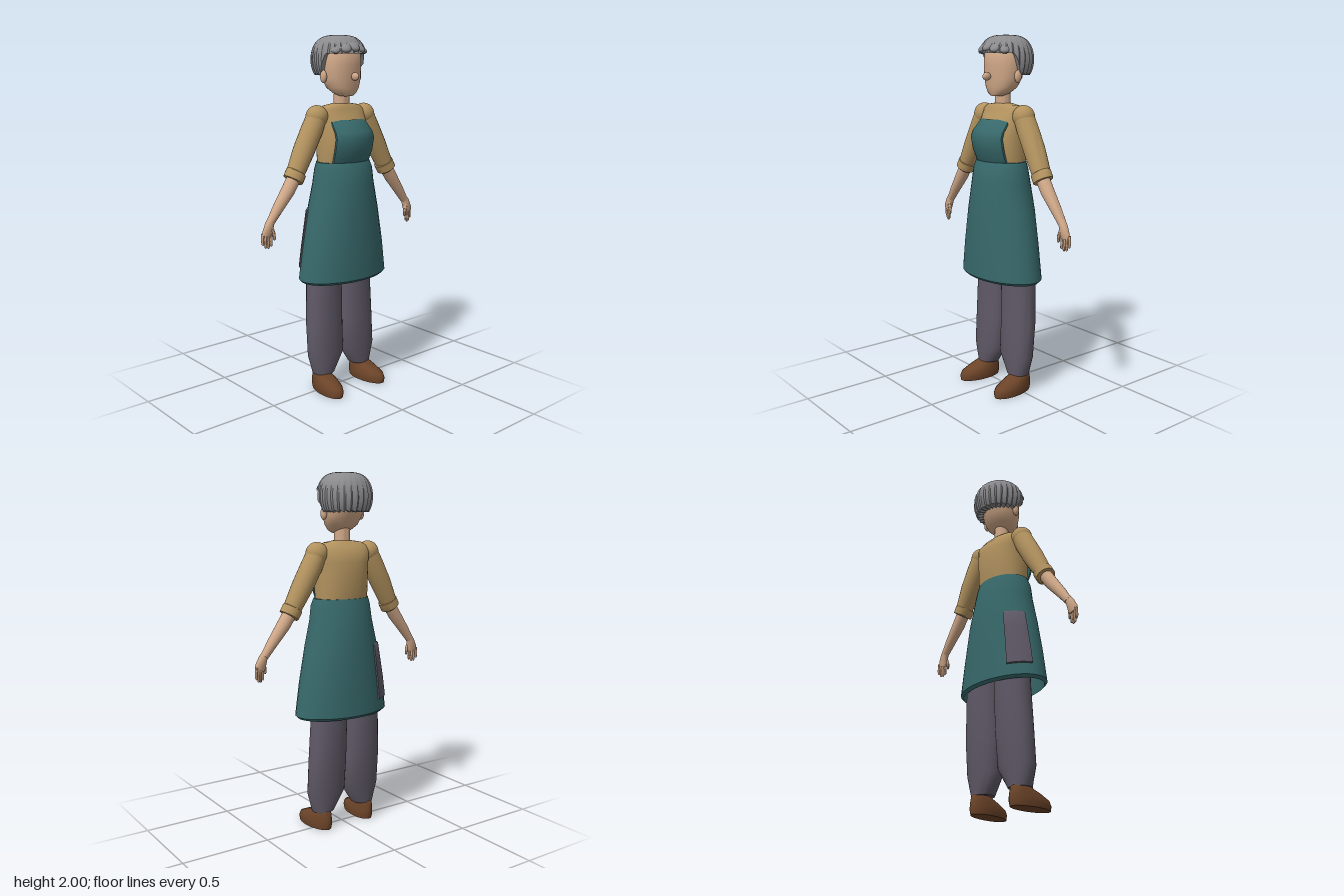
import * as THREE from 'three';
import { toCreasedNormals } from 'three/addons/utils/BufferGeometryUtils.js';

const mat = (name, color) => {
  const m = new THREE.MeshStandardMaterial({ color });
  m.name = name;
  return m;
};

// Skins closed rings of points; rings run along the axis, points from +x towards +z
function skin(rings, capStart = true, capEnd = true, crease = 0.75) {
  const pos = [], idx = [], n = rings[0].length;
  rings.forEach(r => r.forEach(p => pos.push(...p)));
  for (let i = 0; i < rings.length - 1; i++) {
    for (let j = 0; j < n; j++) {
      const k = (j + 1) % n, a = i * n + j, b = i * n + k;
      idx.push(a, a + n, b, b, a + n, b + n);
    }
  }
  const cap = (ring, base, flip) => {
    const c = [0, 1, 2].map(k => ring.reduce((s, p) => s + p[k], 0) / n);
    pos.push(...c);
    const ci = pos.length / 3 - 1;
    for (let j = 0; j < n; j++) {
      const a = base + j, b = base + (j + 1) % n;
      idx.push(ci, flip ? b : a, flip ? a : b);
    }
  };
  if (capStart) cap(rings[0], 0, false);
  if (capEnd) cap(rings[rings.length - 1], (rings.length - 1) * n, true);
  const g = new THREE.BufferGeometry();
  g.setAttribute('position', new THREE.Float32BufferAttribute(pos, 3));
  g.setIndex(idx);
  return toCreasedNormals(g, crease);
}

// Level ring from [y, half width, front z, back z, centre x]
const levelRing = ([y, rx, zf, zb, cx = 0], n = 32, e = 1) =>
  Array.from({ length: n }, (_, j) => {
    const a = j / n * Math.PI * 2, c = Math.cos(a), s = Math.sin(a);
    const f = v => Math.sign(v) * Math.abs(v) ** e;
    return [cx + rx * f(c), y, (zf + zb) / 2 + (zf - zb) / 2 * f(s)];
  });
const stack = (secs, e = 1, capStart = true) =>
  skin(secs.map(s => levelRing(s, 32, e)), capStart);

// Limb along a bent path in the xy plane from [x, y, z, radius, depth radius]
function limb(secs, n = 20) {
  return skin(secs.map(([x, y, z, r, rz = r], i) => {
    const p = secs[Math.max(i - 1, 0)], q = secs[Math.min(i + 1, secs.length - 1)];
    const l = Math.hypot(q[0] - p[0], q[1] - p[1]);
    const dx = (q[0] - p[0]) / l, dy = (q[1] - p[1]) / l;
    return Array.from({ length: n }, (_, j) => {
      const a = j / n * Math.PI * 2, c = r * Math.cos(a);
      return [x + dy * c, y - dx * c, z + rz * Math.sin(a)];
    });
  }));
}

// Outer skirt outline: [y, half width, front z, back z]
const SKIRT = [[0.67, 0.29, 0.175, -0.165], [0.85, 0.262, 0.173, -0.161], [1.05, 0.223, 0.166, -0.155],
  [1.2, 0.187, 0.156, -0.14], [1.28, 0.18, 0.142, -0.122], [1.32, 0.166, 0.125, -0.112]];
function skirtAt(y) {
  let i = 0;
  while (i < SKIRT.length - 2 && SKIRT[i + 1][0] < y) i++;
  const a = SKIRT[i], b = SKIRT[i + 1], t = (y - a[0]) / (b[0] - a[0]);
  return a.map((v, k) => v + (b[k] - v) * t);
}

// Hair cap: ridged locks with a short fringe and longer sides and back
function hairGeometry() {
  const n = 104, rows = 14, rings = [];
  const ring = (t, inset) => Array.from({ length: n }, (_, j) => {
    const a = j / n * Math.PI * 2, s = Math.sin(a), saw = (j % 4) / 3;
    const front = THREE.MathUtils.smoothstep(s, 0.05, 0.42);
    const edge = 1.787 + 0.115 * front + 0.012 * saw * (1 - front);
    const phi = Math.acos((edge - 1.87) / 0.13) * (1 - t);
    const r = Math.sin(phi) ** 0.6 * inset * (1 - 0.05 * saw * (1 - t) ** 0.7);
    return [0.157 * r * Math.cos(a), 1.87 + 0.13 * Math.cos(phi), -0.03 + 0.15 * r * s];
  });
  rings.push(ring(0, 0.7));
  for (let i = 0; i <= rows; i++) rings.push(ring(Math.min(i / rows, 0.995), 1));
  return skin(rings, false, true, 0.6);
}

export function createModel() {
  const skinTone = mat('skin', 0xd0a888), hair = mat('grey hair', 0x8b8b8e);
  const shirt = mat('tan shirt', 0xb3935f), teal = mat('teal apron', 0x37686a);
  const cloth = mat('grey trousers', 0x5f5966), leather = mat('brown leather', 0x6b4328);
  const model = new THREE.Group();
  const add = (name, geo, material, parent = model) => {
    const m = new THREE.Mesh(geo, material);
    m.name = name;
    parent.add(m);
    return m;
  };
  const ball = (name, material, p, r, parent) => {
    const m = add(name, new THREE.SphereGeometry(1, 24, 16), material, parent);
    m.position.set(...p);
    m.scale.set(...r);
    return m;
  };

  // Head
  const head = new THREE.Group();
  head.name = 'head';
  model.add(head);
  add('face', stack([[1.675, 0.035, 0.065, 0.0], [1.69, 0.068, 0.072, -0.03], [1.72, 0.096, 0.078, -0.07],
    [1.77, 0.113, 0.083, -0.1], [1.84, 0.118, 0.087, -0.12], [1.91, 0.114, 0.085, -0.12],
    [1.96, 0.08, 0.05, -0.09]], 0.93), skinTone, head);
  ball('nose', skinTone, [0, 1.78, 0.106], [0.016, 0.022, 0.026], head);
  add('neck', stack([[1.58, 0.046, 0.036, -0.05], [1.72, 0.043, 0.036, -0.046]]), skinTone, head);
  add('hair', hairGeometry(), hair, head);
  for (let i = -2; i <= 2; i++) {
    const a = i * 0.42;
    const lock = ball('fringeLock', hair,
      [Math.sin(a) * 0.088, 1.948 - Math.abs(i) * 0.006, -0.03 + Math.cos(a) * 0.092], [0.042, 0.026, 0.07], head);
    lock.rotation.set(0.42, a, 0, 'YXZ');
  }

  // Shirt body
  add('shirtBody', stack([[1.27, 0.15, 0.105, -0.1], [1.36, 0.155, 0.122, -0.114], [1.45, 0.156, 0.128, -0.119],
    [1.52, 0.154, 0.1, -0.117], [1.57, 0.158, 0.07, -0.108], [1.605, 0.15, 0.052, -0.08],
    [1.625, 0.12, 0.045, -0.06], [1.635, 0.05, 0.036, -0.05]], 0.9), shirt);

  // Apron skirt with an inner wall
  const inner = [1.25, 1.05, 0.85].map(skirtAt).concat([[0.655, 0.288, 0.174, -0.164]])
    .map(([y, rx, f, b]) => [y, rx - 0.014, f - 0.014, b + 0.014]);
  add('apronSkirt', stack([...inner, ...SKIRT], 1, false), teal);

  // Apron bib: [y, half width, middle z, thickness]
  const bibRows = [[1.31, 0.128, 0.118, 0.001], [1.32, 0.129, 0.124, 0.012], [1.38, 0.134, 0.147, 0.012],
    [1.45, 0.134, 0.161, 0.012], [1.485, 0.131, 0.148, 0.012], [1.545, 0.121, 0.097, 0.012], [1.55, 0.12, 0.09, 0.001]];
  add('apronBib', skin(bibRows.map(([y, w, z, t]) => {
    const side = d => Array.from({ length: 13 }, (_, j) => {
      const u = 1 - j / 6;
      return [u * w, y, z - 0.045 * u * u - d];
    });
    return [...side(0), ...side(t).reverse()];
  }), false, false), teal);

  // Cloth panel hanging at the back of the hip
  const panelRows = [0.735, 0.74, 0.8, 0.85, 0.95, 1.05, 1.06];
  add('hipCloth', skin(panelRows.map((y, i) => {
    const [, rx, f, b] = skirtAt(y), end = i === 0 || i === panelRows.length - 1;
    const side = d => Array.from({ length: 9 }, (_, j) => {
      const a = THREE.MathUtils.degToRad(197 + 37 * j / 8);
      return [(rx + d) * Math.cos(a), y, (f + b) / 2 + ((f - b) / 2 + d) * Math.sin(a)];
    });
    return [...side(end ? 0.001 : 0.008), ...side(0).reverse()];
  }), false, false), cloth);

  for (const s of [1, -1]) {
    const tag = s > 0 ? 'left' : 'right';
    const limbSide = secs => limb(secs.map(([x, ...r]) => [s * x, ...r]));

    ball(tag + 'Ear', skinTone, [s * 0.124, 1.78, -0.01], [0.016, 0.034, 0.021], head);

    // Trouser leg and shoe
    add(tag + 'TrouserLeg', stack([[0.1, 0.064, 0.05, -0.068, s * 0.137], [0.21, 0.116, 0.06, -0.083, s * 0.117],
      [0.4, 0.115, 0.055, -0.105, s * 0.115], [0.65, 0.108, 0.053, -0.118, s * 0.108],
      [0.95, 0.1, 0.06, -0.115, s * 0.1]], 0.93), cloth);
    const shoe = add(tag + 'Shoe', stack([[0, 0.058, 0.176, -0.08], [0.025, 0.063, 0.18, -0.085],
      [0.05, 0.061, 0.168, -0.085], [0.075, 0.055, 0.115, -0.08], [0.095, 0.048, 0.06, -0.075],
      [0.112, 0.04, 0.04, -0.065]]), leather);
    shoe.position.x = s * 0.148;
    shoe.rotation.y = s * 0.09;

    // Sleeve with rolled cuff
    const arm = new THREE.Group();
    arm.name = tag + 'Arm';
    model.add(arm);
    ball('shoulder', shirt, [s * 0.17, 1.568, -0.012], [0.063, 0.062, 0.06], arm);
    add('sleeve', limbSide([[0.165, 1.58, -0.012, 0.055, 0.056], [0.205, 1.5, -0.012, 0.06, 0.06],
      [0.265, 1.39, -0.01, 0.059, 0.059], [0.33, 1.27, -0.004, 0.048, 0.052]]), shirt, arm);
    add('cuff', limbSide([[0.319, 1.285, -0.004, 0.05], [0.321, 1.282, -0.004, 0.056],
      [0.343, 1.243, -0.002, 0.056], [0.345, 1.24, -0.002, 0.05]]), shirt, arm);

    // Forearm and hand
    add('forearm', limbSide([[0.33, 1.265, -0.002, 0.038], [0.38, 1.19, 0, 0.037], [0.45, 1.1, 0, 0.029],
      [0.497, 1.035, 0, 0.022]]), skinTone, arm);
    add('palm', limbSide([[0.489, 1.055, 0, 0.019, 0.02], [0.505, 1.025, 0.002, 0.025, 0.022],
      [0.519, 0.985, 0.004, 0.031, 0.018], [0.524, 0.962, 0.004, 0.028, 0.012]]), skinTone, arm);
    for (let i = 0; i < 4; i++) {
      const x = 0.503 + i * 0.0145, low = 0.897 + [0.01, 0, 0.002, 0.018][i], z = 0.01 - i * 0.004;
      add('finger', limbSide([[x, 0.98, z, 0.008], [x + 0.002, 0.935, z, 0.008],
        [x, low + 0.006, z, 0.007], [x, low, z, 0.003]]), skinTone, arm);
    }
    add('thumb', limbSide([[0.502, 1.015, 0.01, 0.011], [0.488, 0.975, 0.016, 0.009],
      [0.485, 0.945, 0.016, 0.007], [0.485, 0.938, 0.016, 0.003]]), skinTone, arm);
  }
  return model;
}
